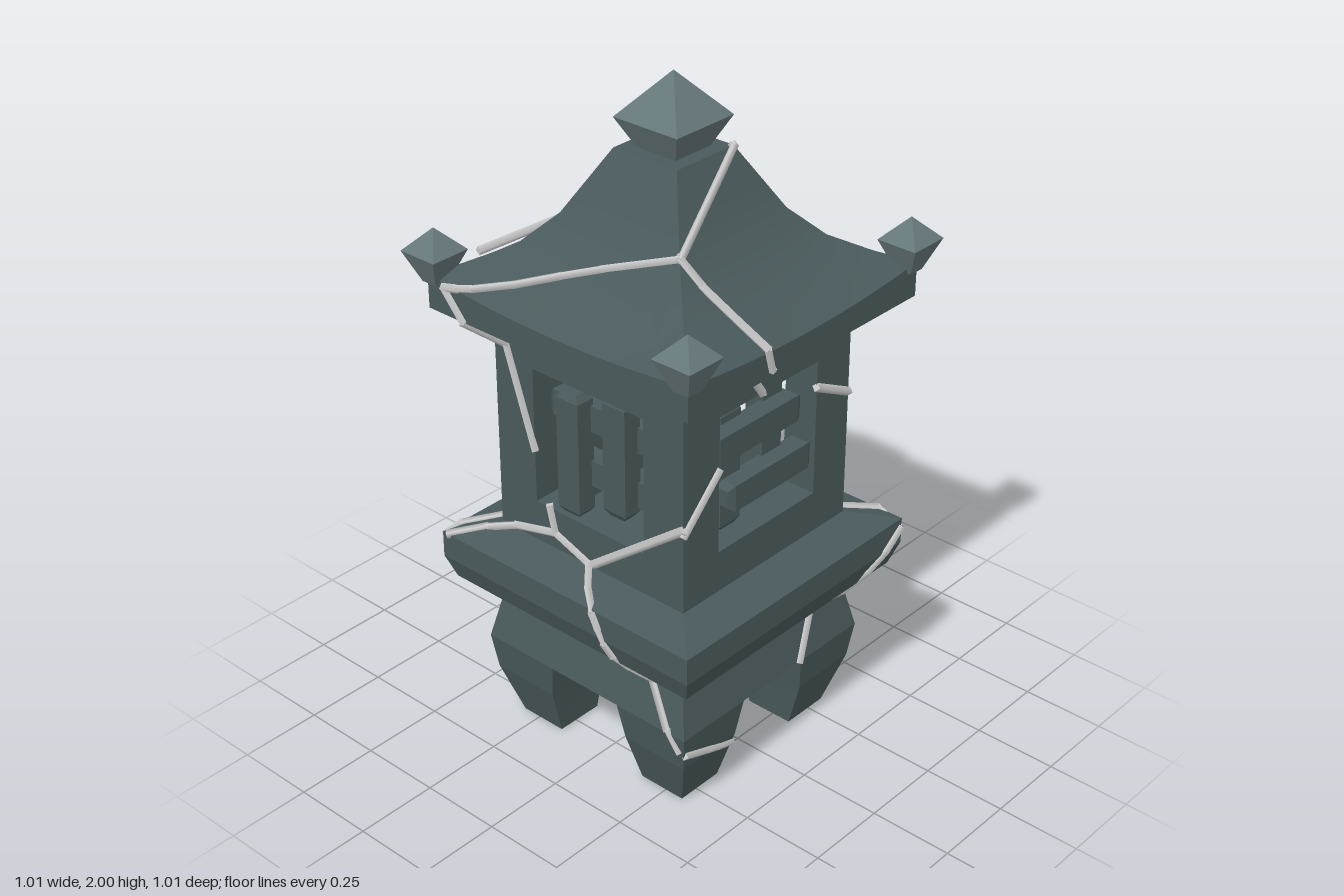
import * as THREE from 'three';
import { mergeGeometries, toCreasedNormals } from 'three/addons/utils/BufferGeometryUtils.js';

const stone = new THREE.MeshStandardMaterial({ color: 0x4a5a5c, side: THREE.DoubleSide });
const finialStone = new THREE.MeshStandardMaterial({ color: 0x66777a });
const seamStone = new THREE.MeshStandardMaterial({ color: 0xcccccc });

// Legs: [inner, outer, y]; the other profiles: [half width, y, sag at mid-side]
const legRows = [[0.16, 0.31, 0], [0.143, 0.36, 0.16], [0.125, 0.375, 0.27]];
const platformRows = [[0.345, 0.41], [0.435, 0.48], [0.46, 0.55], [0.46, 0.63], [0.34, 0.66]];
const roofRows = [[0.46, 1.34], [0.46, 1.44, 0.03], [0.39, 1.47, 0.015], [0.29, 1.525], [0.21, 1.61], [0.16, 1.7], [0.11, 1.79]];

// Square loft, bottom to top
function loft(rows, seg = 1, crease = 0.35) {
  const pos = [], idx = [], n = 4 * (seg + 1);
  for (const [h, y, sag = 0] of rows) {
    for (let k = 0; k < 4; k++) {
      const c = Math.round(Math.cos(k * Math.PI / 2)), s = Math.round(Math.sin(k * Math.PI / 2));
      for (let j = 0; j <= seg; j++) {
        const t = -1 + 2 * j / seg;
        pos.push(h * (t * c + s), y - sag * (1 - t * t), h * (c - t * s));
      }
    }
  }
  for (let i = 0; i < rows.length - 1; i++) {
    for (let k = 0; k < 4; k++) {
      for (let j = 0; j < seg; j++) {
        const a = i * n + k * (seg + 1) + j;
        if (rows[i][0] > 0) idx.push(a, a + 1, a + n + 1);
        if (rows[i + 1][0] > 0) idx.push(a, a + n + 1, a + n);
      }
    }
  }
  // A row of zero width closes to a point, so its fan uses the other diagonal
  const g = new THREE.BufferGeometry();
  g.setAttribute('position', new THREE.Float32BufferAttribute(pos, 3));
  g.setIndex(idx);
  return toCreasedNormals(g, crease);
}

// Outer half width of the whole lantern at a given height
const outline = [...legRows.map(([, h, y]) => [h, y]), ...platformRows, [0.34, 1.335], ...roofRows];
function halfWidth(y) {
  const i = Math.max(1, outline.findIndex(row => row[1] >= y));
  const [h0, y0] = outline[i - 1], [h1, y1] = outline[i];
  return h0 + (h1 - h0) * (y - y0) / (y1 - y0);
}

// Angular seam hugging one side's surface through [across, height] points
function seamGeometry(points) {
  const path = [];
  points.forEach(([u, y], i) => {
    const [u1, y1] = points[i + 1] ?? [u, y];
    const steps = i < points.length - 1 ? 4 : 1;
    for (let s = 0; s < steps; s++) {
      const h = y + (y1 - y) * s / steps;
      path.push(new THREE.Vector3(u + (u1 - u) * s / steps, h, halfWidth(h)));
    }
  });
  const up = new THREE.Vector3(0, 1, 0);
  return mergeGeometries(path.slice(1).map((b, i) => {
    const dir = b.clone().sub(path[i]), mid = b.clone().add(path[i]).multiplyScalar(0.5);
    const g = new THREE.CylinderGeometry(0.013, 0.013, dir.length() + 0.008, 4).toNonIndexed();
    g.applyQuaternion(new THREE.Quaternion().setFromUnitVectors(up, dir.normalize()));
    return g.translate(mid.x, mid.y, mid.z);
  }));
}

// Seams by side: front, left, back, right
const seams = [
  [
    [[0.21, 1.61], [-0.2, 1.47], [-0.4, 1.42], [-0.33, 1.34], [-0.2, 0.95]],
    [[0.34, 0.92], [0, 0.66]],
    [[-0.15, 0.79], [-0.13, 0.71], [-0.44, 0.63]],
    [[-0.13, 0.71], [0.12, 0.62], [0.2, 0.46], [0.35, 0.22]],
  ],
  [
    [[0.11, 1.79], [-0.21, 1.61], [-0.14, 1.36], [-0.03, 1.2]],
    [[0.2, 1.12], [0.34, 1.05]],
    [[-0.2, 1.04], [-0.34, 0.9]],
    [[-0.36, 0.21], [-0.15, 0.13]],
    [[0.12, 0.27], [0.2, 0.41], [0.455, 0.6]],
  ],
  [
    [[-0.11, 1.79], [0.11, 1.61], [0.34, 1.44], [0.33, 1.34], [0.2, 1.2]],
    [[-0.455, 0.6], [-0.3, 0.66], [0, 0.785]],
    [[0.2, 0.79], [0.28, 0.67], [0.43, 0.6], [0.34, 0.4], [0.34, 0.1]],
  ],
  [
    [[-0.4, 1.445], [-0.2, 1.475], [0.27, 1.44]],
    [[-0.45, 0.6], [-0.3, 0.7]],
    [[0.24, 0.67], [0.45, 0.62]],
  ],
];

export function createModel() {
  const model = new THREE.Group();
  const add = (name, geometry, material = stone, parent = model) => {
    const m = new THREE.Mesh(geometry, material);
    m.name = name;
    parent.add(m);
    return m;
  };

  // Four tapering corner legs
  const leg = new THREE.BoxGeometry(1, 1, 1, 1, 2, 1);
  const p = leg.attributes.position;
  for (let i = 0; i < p.count; i++) {
    const [inner, outer, y] = legRows[Math.round((p.getY(i) + 0.5) * 2)];
    p.setXYZ(i, p.getX(i) > 0 ? outer : inner, y, p.getZ(i) > 0 ? outer : inner);
  }
  const legGeometry = toCreasedNormals(leg, 0.1);

  // Wall with a square window, offset so four join in a pinwheel
  const corners = (x0, y0, x1, y1) => [[x0, y0], [x1, y0], [x1, y1], [x0, y1]].map(q => new THREE.Vector2(...q));
  const wall = new THREE.Shape(corners(-0.34, 0.65, 0.24, 1.34));
  wall.holes.push(new THREE.Path(corners(-0.2, 0.785, 0.2, 1.2)));
  const wallGeometry = new THREE.ExtrudeGeometry(wall, { depth: 0.1, bevelEnabled: false }).translate(0, 0, 0.24);

  for (let k = 0; k < 4; k++) {
    add('leg', legGeometry).rotation.y = k * Math.PI / 2;
    add('wall', wallGeometry).rotation.y = k * Math.PI / 2;
    for (const points of seams[k]) add('seam', seamGeometry(points), seamStone).rotation.y = k * Math.PI / 2;
  }

  // Base block and flared platform
  add('baseBlock', loft([[0, 0.27], [0.375, 0.27], [0.345, 0.41], [0, 0.41]]));
  add('platform', loft([[0, 0.41], ...platformRows, [0, 0.66]], 1, 0.2));

  // Interlocking window bars with chamfered ends
  const bar = len => loft([[0, 0], [0.025, 0], [0.04, 0.02], [0.04, len - 0.02], [0.025, len], [0, len]]).scale(1, 1, 0.75);
  function lattice(name, verticalZ, horizontalZ) {
    const g = new THREE.Group();
    g.name = name;
    for (const [x, y0, y1] of [[-0.085, 0.78, 1.16], [0.085, 0.84, 1.205]]) {
      add('verticalBar', bar(y1 - y0), stone, g).position.set(x, y0, verticalZ);
    }
    for (const [y, x0, x1] of [[1.08, -0.205, 0.155], [0.91, -0.14, 0.205]]) {
      const b = add('horizontalBar', bar(x1 - x0), stone, g);
      b.rotation.z = -Math.PI / 2;
      b.position.set(x0, y, horizontalZ);
    }
    model.add(g);
    return g;
  }
  lattice('frontLattice', 0.3, 0.25);
  lattice('leftLattice', 0.25, 0.3).rotation.y = Math.PI / 2;
  const rightLattice = lattice('rightLattice', 0.25, 0.3);
  rightLattice.rotation.y = -Math.PI / 2;
  rightLattice.scale.x = -1;

  // Roof with upturned eaves
  add('roof', loft([[0, 1.34], ...roofRows, [0, 1.79]], 8, 0.45));

  // Crown and corner finials
  add('crownFinial', loft([[0, 1.785], [0.065, 1.785], [0.11, 1.875], [0, 2]]), finialStone);
  const finial = loft([[0, 1.42], [0.025, 1.42], [0.0625, 1.51], [0, 1.575]]);
  for (const x of [-0.445, 0.445]) {
    for (const z of [-0.445, 0.445]) add('cornerFinial', finial, finialStone).position.set(x, 0, z);
  }
  return model;
}
